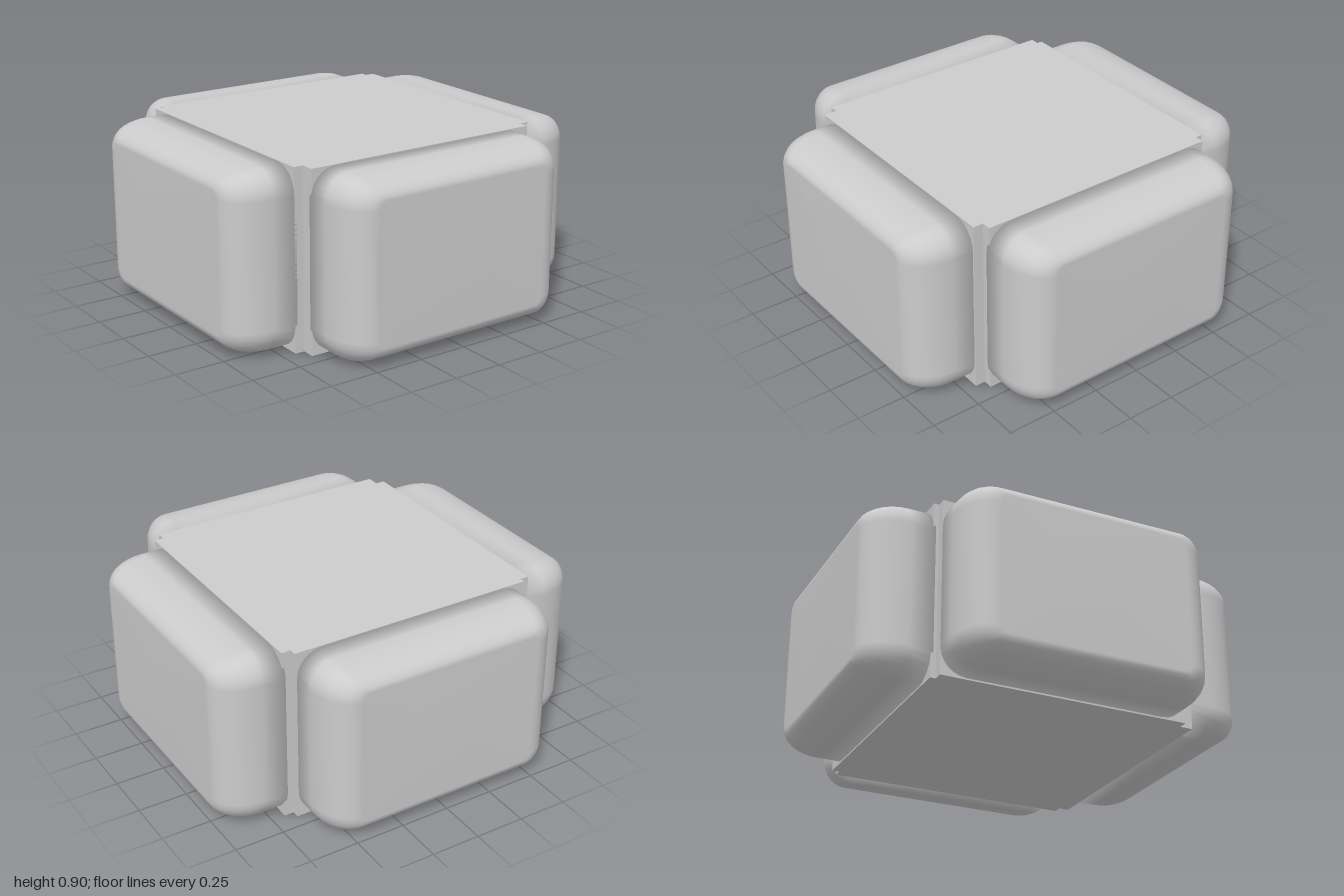
import * as THREE from 'three';

const material = new THREE.MeshStandardMaterial({ color: 0xcccccc });
const HEIGHT = 0.893;

// Points of a rounded rectangle, counter-clockwise, centred on (cx, cy)
function roundedLoop(cx, cy, hw, hh, r, steps = 6) {
  const points = [];
  for (let c = 0; c < 4; c++) {
    const sx = c === 0 || c === 3 ? 1 : -1;
    const sy = c < 2 ? 1 : -1;
    for (let i = 0; i <= steps; i++) {
      const a = (c + i / steps) * Math.PI / 2;
      points.push([cx + sx * (hw - r) + r * Math.cos(a), cy + sy * (hh - r) + r * Math.sin(a)]);
    }
  }
  return points;
}

// Padded block: rounded sections along z that shrink along an elliptical shoulder
function cushionGeometry(cx, halfWidth) {
  const cy = 0.45, halfHeight = 0.442;
  const base = 0.67, shoulder = 0.79, front = 0.997;
  const positions = [], indices = [];
  const rings = [[base, 0]];
  for (let i = 0; i <= 8; i++) {
    const a = (i / 8) * Math.PI / 2;
    rings.push([shoulder + (front - shoulder) * Math.sin(a), 1 - Math.cos(a)]);
  }
  let n = 0;
  for (const [z, k] of rings) {
    const loop = roundedLoop(cx, cy, halfWidth - 0.15 * k, halfHeight - 0.095 * k, 0.13 - 0.09 * k);
    n = loop.length;
    for (const [x, y] of loop) positions.push(x, y, z);
  }
  for (let r = 0; r < rings.length - 1; r++) {
    for (let i = 0; i < n; i++) {
      const j = (i + 1) % n;
      const a = r * n + i, b = r * n + j;
      indices.push(a, b, b + n, a, b + n, a + n);
    }
  }
  // Outer face and hidden back face
  const last = (rings.length - 1) * n;
  const centre = positions.length / 3;
  positions.push(cx, cy, front, cx, cy, base);
  for (let i = 0; i < n; i++) {
    const j = (i + 1) % n;
    indices.push(centre, last + i, last + j, centre + 1, j, i);
  }
  const geometry = new THREE.BufferGeometry();
  geometry.setAttribute('position', new THREE.Float32BufferAttribute(positions, 3));
  geometry.setIndex(indices);
  geometry.computeVertexNormals();
  return geometry;
}

// Square core with a small step cut out of each upright corner
function coreGeometry() {
  const o = 0.682;
  const outline = [
    [-0.635, -o], [0.635, -o], [0.635, -0.63], [o, -0.63],
    [o, 0.645], [0.635, 0.645], [0.635, o], [-0.635, o],
    [-0.635, 0.655], [-o, 0.655], [-o, -0.615], [-0.635, -0.615],
  ].map(([x, y]) => new THREE.Vector2(x, y));
  const geometry = new THREE.ExtrudeGeometry(new THREE.Shape(outline), { depth: HEIGHT + 0.003, bevelEnabled: false });
  return geometry.rotateX(-Math.PI / 2);
}

export function createModel() {
  const model = new THREE.Group();
  model.name = 'cushionedBlock';

  const core = new THREE.Mesh(coreGeometry(), material);
  core.name = 'core';
  model.add(core);

  // One cushion on each side: name, turn, sideways offset, half width
  const sides = [
    ['frontCushion', 0, -0.005, 0.632],
    ['leftCushion', Math.PI / 2, 0.01, 0.648],
    ['backCushion', Math.PI, 0.006, 0.631],
    ['rightCushion', -Math.PI / 2, -0.02, 0.635],
  ];
  for (const [name, turn, offset, halfWidth] of sides) {
    const cushion = new THREE.Mesh(cushionGeometry(offset, halfWidth), material);
    cushion.name = name;
    cushion.rotation.y = turn;
    model.add(cushion);
  }
  return model;
}
